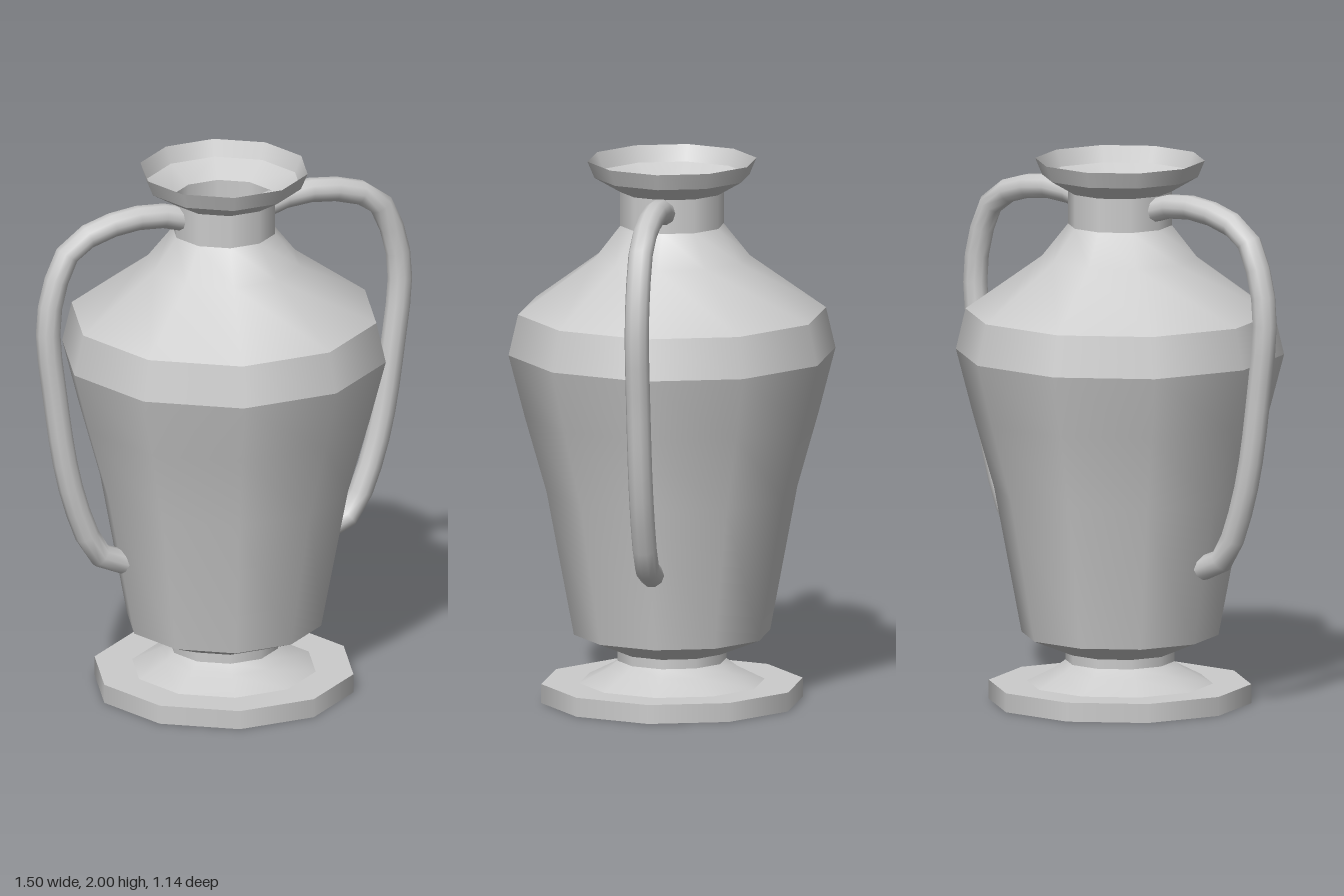
import * as THREE from 'three';

const SIDES = 10;

export function createModel() {
  const group = new THREE.Group();
  group.name = 'amphora';
  const material = new THREE.MeshStandardMaterial({ color: 0xcccccc, side: THREE.DoubleSide });

  // Each band is smooth inside and sharp where it meets the next one.
  const bands = {
    footEdge: [[0.48, 0], [0.48, 0.07]],
    footTop: [[0.48, 0.07], [0.34, 0.07]],
    footCone: [[0.34, 0.07], [0.24, 0.12], [0.2, 0.15]],
    stem: [[0.2, 0.15], [0.2, 0.185]],
    bodyBase: [[0.2, 0.185], [0.36, 0.25]],
    body: [[0.36, 0.25], [0.46, 0.78], [0.54, 1.06], [0.6, 1.29]],
    shoulderBand: [[0.6, 1.29], [0.565, 1.44]],
    shoulder: [[0.565, 1.44], [0.285, 1.64], [0.19, 1.76]],
    neck: [[0.19, 1.76], [0.19, 1.885]],
    mouth: [[0.19, 1.885], [0.285, 1.94]],
    lip: [[0.285, 1.94], [0.31, 2]],
  };
  for (const [name, profile] of Object.entries(bands)) {
    const points = profile.map(([r, y]) => new THREE.Vector2(r, y));
    // A corner of the decagon lies on the x axis.
    const mesh = new THREE.Mesh(new THREE.LatheGeometry(points, SIDES, Math.PI / 10), material);
    mesh.name = name;
    group.add(mesh);
  }

  // Handles run from inside the neck down to the lower body.
  const path = [
    [0.145, 1.825], [0.22, 1.85], [0.34, 1.862], [0.47, 1.845], [0.61, 1.785], [0.675, 1.66],
    [0.705, 1.49], [0.675, 1.2], [0.63, 0.92], [0.575, 0.73], [0.5, 0.58], [0.4, 0.535],
  ];
  for (const [name, s] of [['leftHandle', 1], ['rightHandle', -1]]) {
    const curve = new THREE.CatmullRomCurve3(path.map(([x, y]) => new THREE.Vector3(s * x, y, 0)));
    const handle = new THREE.Mesh(new THREE.TubeGeometry(curve, 18, 0.045, 10), material);
    handle.name = name;
    group.add(handle);
  }
  return group;
}
